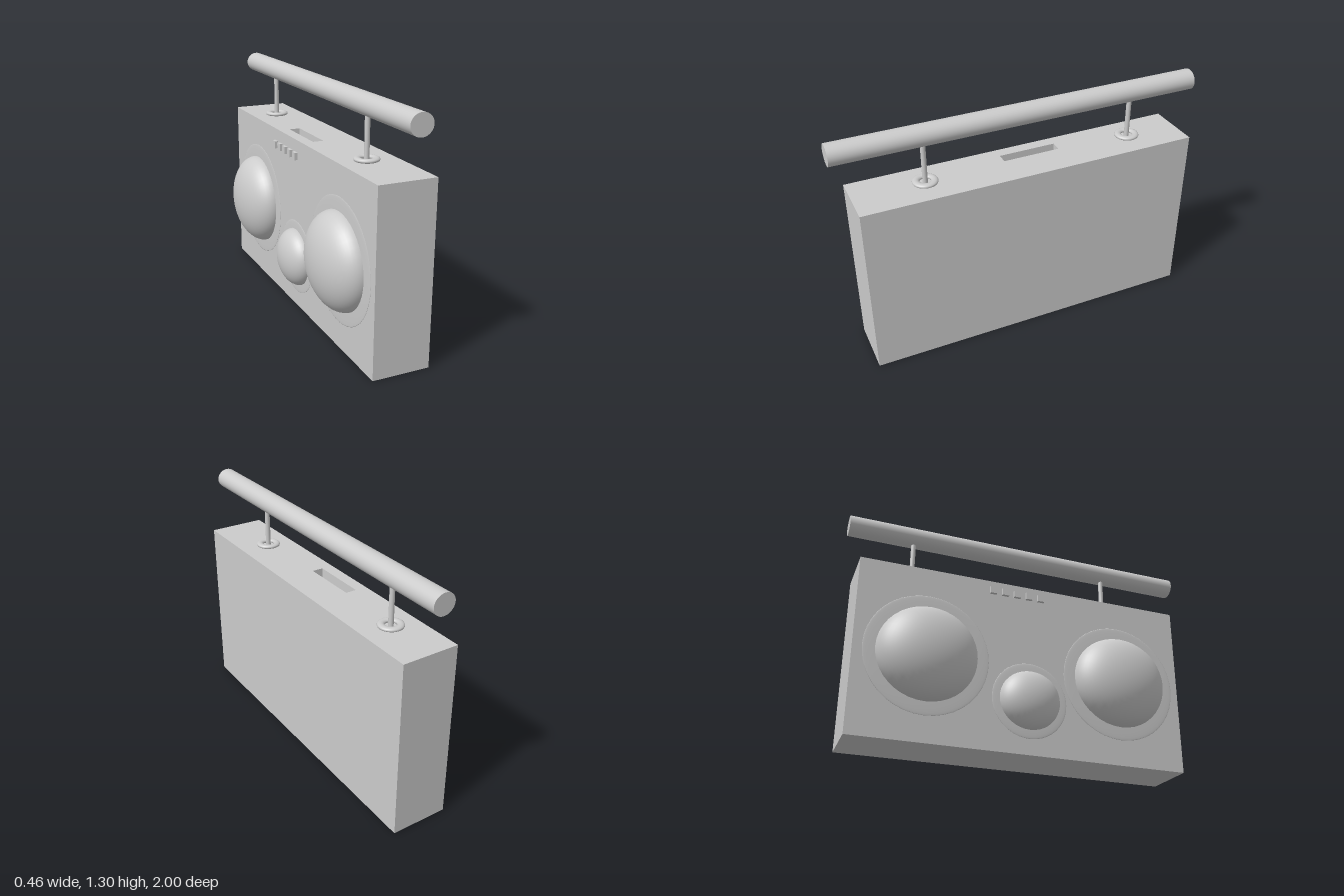
import * as THREE from 'three';

const grey = new THREE.MeshStandardMaterial({ color: 0xcccccc });

export function createModel() {
  const model = new THREE.Group();
  model.name = 'portableStereo';

  const add = (name, geometry, x, y, z) => {
    const mesh = new THREE.Mesh(geometry, grey);
    mesh.name = name;
    mesh.position.set(x, y, z);
    model.add(mesh);
    return mesh;
  };

  // Rectangle path in plan; shape y becomes -z once the extrusion stands up
  const rect = (path, x0, x1, z0, z1) => {
    path.moveTo(x0, -z0);
    path.lineTo(x0, -z1);
    path.lineTo(x1, -z1);
    path.lineTo(x1, -z0);
    path.closePath();
    return path;
  };

  // Case with a slot in its top
  const frontX = -0.08, top = 0.97, slotDepth = 0.1;
  const slot = { x0: -0.017, x1: 0.043, z0: -0.23, z1: 0.087 };
  const plan = rect(new THREE.Shape(), frontX, 0.23, -0.94, 0.91);
  plan.holes.push(rect(new THREE.Path(), slot.x0, slot.x1, slot.z0, slot.z1));
  const caseGeometry = new THREE.ExtrudeGeometry(plan, { depth: top, bevelEnabled: false });
  caseGeometry.rotateX(-Math.PI / 2);
  add('case', caseGeometry, 0, 0, 0);

  // Floor of the slot
  const floorY = top - slotDepth;
  add('slotFloor', new THREE.BoxGeometry(slot.x1 - slot.x0, floorY, slot.z1 - slot.z0),
    (slot.x0 + slot.x1) / 2, floorY / 2, (slot.z0 + slot.z1) / 2);

  // Half ellipsoid bulging towards -x
  const dome = (depth, ry, rz) => {
    const g = new THREE.SphereGeometry(1, 40, 14, 0, Math.PI * 2, 0, Math.PI / 2);
    g.rotateZ(Math.PI / 2);
    g.scale(depth, ry, rz);
    return g;
  };

  // Speakers: thin surround with a domed cone
  const speakers = [
    { name: 'rearSpeaker', y: 0.475, z: -0.557, ry: 0.26, rz: 0.268, depth: 0.15, rim: 0.333 },
    { name: 'frontSpeaker', y: 0.475, z: 0.538, ry: 0.26, rz: 0.268, depth: 0.15, rim: 0.333 },
    { name: 'middleSpeaker', y: 0.297, z: 0.006, ry: 0.162, rz: 0.168, depth: 0.1, rim: 0.21 },
  ];
  for (const s of speakers) {
    add(s.name + 'Surround', dome(0.006, s.rim, s.rim), frontX, s.y, s.z);
    add(s.name + 'Dome', dome(s.depth, s.ry, s.rz), frontX, s.y, s.z);
  }

  // Row of buttons standing off the speaker face
  for (let i = 0; i < 5; i++) {
    add('button', new THREE.BoxGeometry(0.017, 0.04, 0.038), -0.112, 0.898, -0.215 + i * 0.069);
  }

  // Handle posts with a collar at each foot
  for (const z of [-0.635, 0.53]) {
    add('handlePost', new THREE.CylinderGeometry(0.0135, 0.0135, 0.25, 24), 0.067, 1.085, z);
    const collar = new THREE.TorusGeometry(0.048, 0.019, 12, 40);
    collar.rotateX(Math.PI / 2);
    collar.scale(1, 0.6, 1);
    add('postCollar', collar, 0.067, 0.979, z);
  }

  // Grip bar, slightly oval
  const grip = new THREE.CylinderGeometry(0.06, 0.06, 2, 40);
  grip.rotateX(Math.PI / 2);
  grip.scale(1, 0.93, 1);
  add('handleGrip', grip, 0.075, 1.244, 0);

  return model;
}
